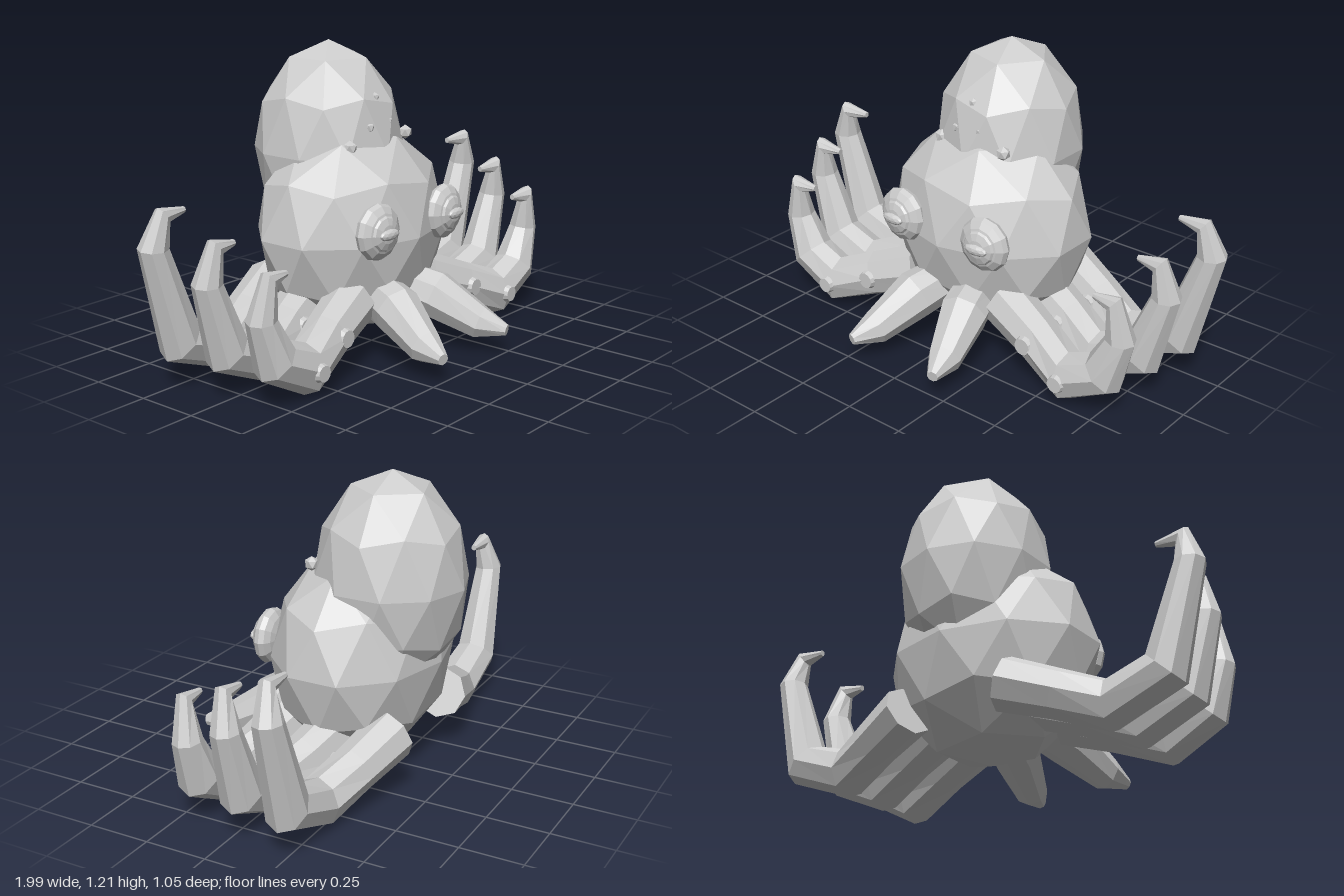
import * as THREE from 'three';

const skin = new THREE.MeshStandardMaterial({ color: 0xcccccc, flatShading: true });
skin.name = 'light grey skin';

const V = (x, y, z) => new THREE.Vector3(x, y, z);

function add(parent, name, geometry, x = 0, y = 0, z = 0) {
  const mesh = new THREE.Mesh(geometry, skin);
  mesh.name = name;
  mesh.position.set(x, y, z);
  parent.add(mesh);
  return mesh;
}

// Faceted ball with a vertex on top, stretched to three radii
function ball(rx, ry, rz, detail = 1) {
  const g = new THREE.IcosahedronGeometry(1, detail);
  g.rotateZ(-Math.atan(2 / (1 + Math.sqrt(5))));
  return g.scale(rx, ry, rz);
}

// Eight-sided limb through stations [x, y, z, radius], mitred at the bends and capped
function limb(stations, ref, sides = 8) {
  const pts = stations.map(s => V(s[0], s[1], s[2]));
  const n = pts.length, pos = [], index = [];
  pts.forEach((p, i) => {
    const before = p.clone().sub(pts[Math.max(i - 1, 0)]).normalize();
    const after = pts[Math.min(i + 1, n - 1)].clone().sub(p).normalize();
    const t = before.clone().add(after).normalize();
    const mitre = i > 0 && i < n - 1 ? 1 / before.dot(t) : 1;
    const u = ref.clone().addScaledVector(t, -ref.dot(t)).normalize();
    const v = t.clone().cross(u);
    for (let k = 0; k < sides; k++) {
      const a = k / sides * Math.PI * 2, r = stations[i][3];
      const q = p.clone().addScaledVector(u, Math.cos(a) * r).addScaledVector(v, Math.sin(a) * r * mitre);
      pos.push(q.x, q.y, q.z);
    }
  });
  for (let k = 0; k < sides; k++) {
    const k2 = (k + 1) % sides;
    for (let i = 0; i < n - 1; i++) {
      const a = i * sides + k, b = i * sides + k2;
      index.push(a, b, b + sides, a, b + sides, a + sides);
    }
    const last = (n - 1) * sides;
    index.push(n * sides, k2, k, n * sides + 1, last + k, last + k2);
  }
  pos.push(...pts[0].toArray(), ...pts[n - 1].toArray());
  const g = new THREE.BufferGeometry();
  g.setAttribute('position', new THREE.Float32BufferAttribute(pos, 3));
  g.setIndex(index);
  const flat = g.toNonIndexed();
  flat.computeVertexNormals();
  return flat;
}

// Low sucker disc facing forward
function sucker(parent, x, y, z, r) {
  const disc = new THREE.CylinderGeometry(r * 0.85, r, 0.02, 12).rotateX(Math.PI / 2);
  add(parent, 'sucker', disc, x, y, z);
}

// Side arms: z, knee x, wrist [x, y], hook bend [x, y], hook end [x, y]
const sideArms = [
  { name: 'frontSideArm', z: 0.18, knee: 0.76, wrist: [0.822, 0.34], bend: [0.80, 0.49], end: [0.71, 0.49] },
  { name: 'middleSideArm', z: -0.025, knee: 0.793, wrist: [0.88, 0.445], bend: [0.855, 0.58], end: [0.76, 0.575] },
  { name: 'backSideArm', z: -0.235, knee: 0.825, wrist: [0.938, 0.55], bend: [0.905, 0.67], end: [0.80, 0.67] },
];

function sideArm(s, d) {
  const g = new THREE.Group();
  g.name = d.name;
  const z = d.z;
  add(g, 'arm', limb([
    [s * 0.22, 0.236, z - 0.103, 0.104],
    [s * 0.42, 0.165, z - 0.052, 0.093],
    [s * 0.60, 0.097, z, 0.091],
    [s * d.knee, 0.176, z, 0.084],
    [s * d.wrist[0], d.wrist[1], z, 0.057],
    [s * d.bend[0], d.bend[1], z + 0.02, 0.031],
    [s * d.end[0], d.end[1], z + 0.015, 0.012],
  ], V(0, 0, 1)));
  sucker(g, s * 0.41, 0.168, z + 0.037, 0.04);
  sucker(g, s * 0.60, 0.10, z + 0.087, 0.037);
  return g;
}

function eye(s) {
  const g = new THREE.Group();
  g.name = s > 0 ? 'leftEye' : 'rightEye';
  add(g, 'eyeball', new THREE.SphereGeometry(1, 12, 8).rotateX(Math.PI / 2).scale(0.11, 0.112, 0.052));
  add(g, 'iris', new THREE.SphereGeometry(1, 12, 6).rotateX(Math.PI / 2).scale(0.073, 0.073, 0.026), 0, 0, 0.035);
  add(g, 'pupil', ball(0.052, 0.022, 0.018), 0, 0, 0.06);
  g.position.set(s * 0.207, 0.532, 0.2);
  g.rotation.y = s * 0.06;
  return g;
}

export function createModel() {
  const model = new THREE.Group();
  model.name = 'octopus';

  // Body and tall head
  add(model, 'body', ball(0.44, 0.43, 0.34), 0, 0.47, -0.1);
  add(model, 'head', ball(0.3, 0.43, 0.305), 0, 0.775, -0.22);

  for (const s of [1, -1]) {
    model.add(eye(s));
    for (const d of sideArms) model.add(sideArm(s, d));
    // Short tapering arm in front
    add(model, 'frontArm', limb([
      [s * 0.08, 0.25, 0.08, 0.09],
      [s * 0.125, 0.21, 0.23, 0.098],
      [s * 0.18, 0.116, 0.41, 0.067],
      [s * 0.21, 0.098, 0.515, 0.023],
    ], V(1, 0, 0)));
  }

  // Warts on the forehead, mostly sunk in: x, y, z, radius
  const warts = [
    [-0.155, 0.822, 0.02, 0.03], [0.165, 0.84, 0.038, 0.029],
    [-0.06, 0.89, 0.036, 0.023], [0.05, 0.9, 0.038, 0.022], [0, 1.0, 0.016, 0.018],
  ];
  for (const [x, y, z, r] of warts) add(model, 'wart', ball(r, r, r, 0), x, y, z);

  return model;
}
